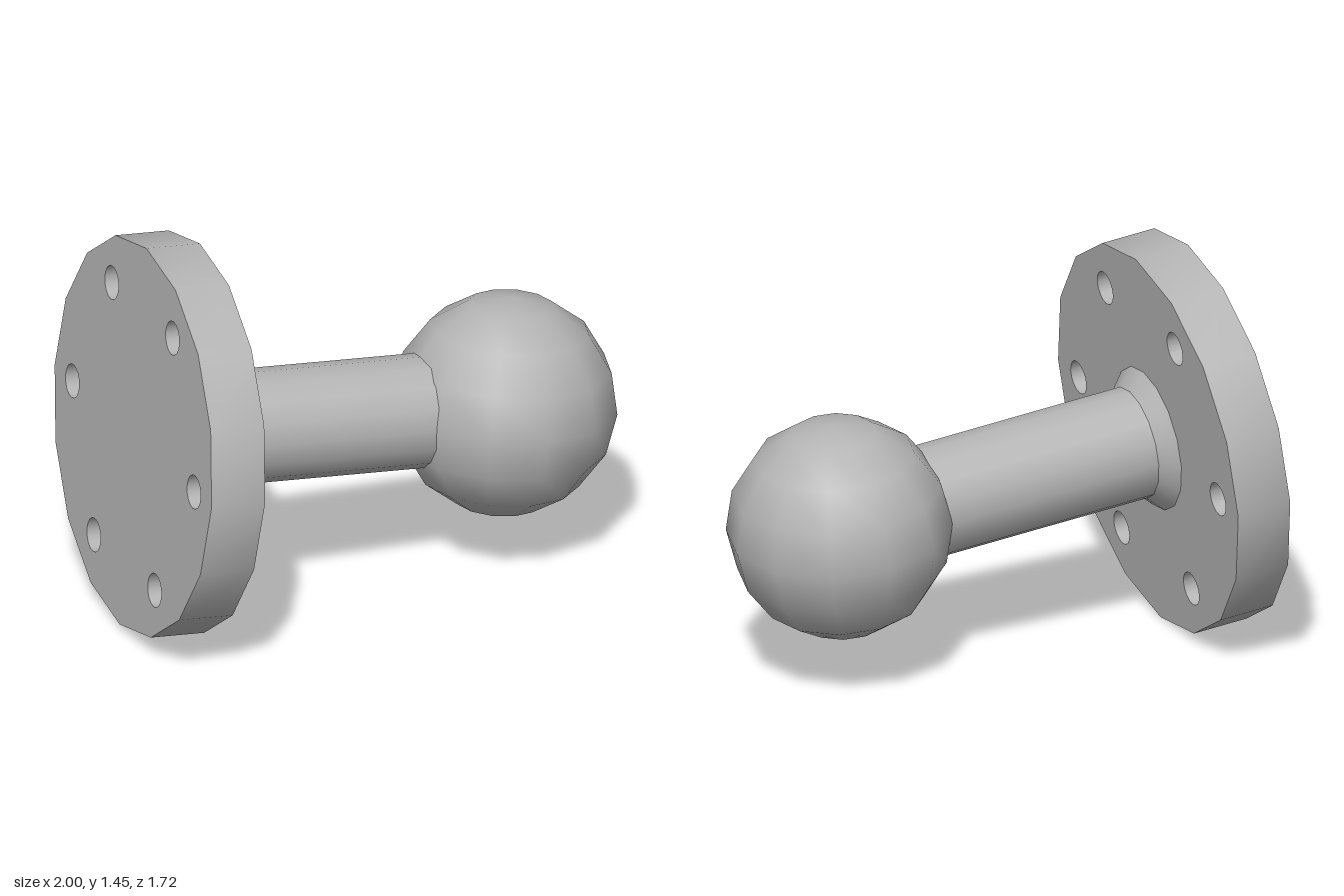
import * as THREE from 'three';
import { toCreasedNormals } from 'three/addons/utils/BufferGeometryUtils.js';

const SIDES = 16;
const PLATE_R = 0.718, PLATE_T = 0.207;
const HOLE_R = 0.062, HOLE_RING = 0.556, HOLES = 6;
const STALK_R = 0.205, COLLAR_R = 0.265, COLLAR_H = 0.06;
const BALL_R = 0.405, BALL_Z = 1.23;

// Points of a regular polygon
function ring(radius, sides, cx = 0, cy = 0) {
  return Array.from({ length: sides }, (_, i) => {
    const a = (i / sides) * Math.PI * 2;
    return new THREE.Vector2(cx + radius * Math.cos(a), cy + radius * Math.sin(a));
  });
}

// Cylinder or cone section running along local z
function rod(r0, r1, z0, z1) {
  const g = new THREE.CylinderGeometry(r1, r0, z1 - z0, SIDES, 1, true);
  g.rotateX(Math.PI / 2);
  g.translate(0, 0, (z0 + z1) / 2);
  return g;
}

export function createModel() {
  const model = new THREE.Group();
  model.name = 'ballMount';
  const grey = new THREE.MeshStandardMaterial({ color: 0xb4b4b4 });
  grey.name = 'grey';

  const add = (name, geometry) => {
    const mesh = new THREE.Mesh(geometry, grey);
    mesh.name = name;
    model.add(mesh);
    return mesh;
  };

  // Round base plate with a circle of through holes
  const outline = new THREE.Shape(ring(PLATE_R, SIDES));
  for (let i = 0; i < HOLES; i++) {
    const a = (i / HOLES) * Math.PI * 2;
    outline.holes.push(new THREE.Path(
      ring(HOLE_R, SIDES, HOLE_RING * Math.cos(a), HOLE_RING * Math.sin(a))));
  }
  const plate = new THREE.ExtrudeGeometry(outline, { depth: PLATE_T, bevelEnabled: false });
  plate.translate(0, 0, -PLATE_T);
  add('basePlate', toCreasedNormals(plate, 0.6));

  // Sloped collar, stalk and ball
  add('collar', rod(COLLAR_R, STALK_R, 0, COLLAR_H));
  add('stalk', rod(STALK_R, STALK_R, COLLAR_H, BALL_Z - 0.2));
  add('ball', new THREE.SphereGeometry(BALL_R, 12, 8)).position.z = BALL_Z;

  // Tilt the whole mount along its axis
  const axis = new THREE.Vector3(0.872, -0.093, 0.48).normalize();
  const up = new THREE.Vector3(-axis.y, axis.x, 0).normalize();
  const side = new THREE.Vector3().crossVectors(up, axis);
  model.quaternion.setFromRotationMatrix(new THREE.Matrix4().makeBasis(side, up, axis));
  model.position.set(-0.48, 0.716, -0.135);

  const root = new THREE.Group();
  root.name = 'model';
  root.add(model);
  return root;
}
